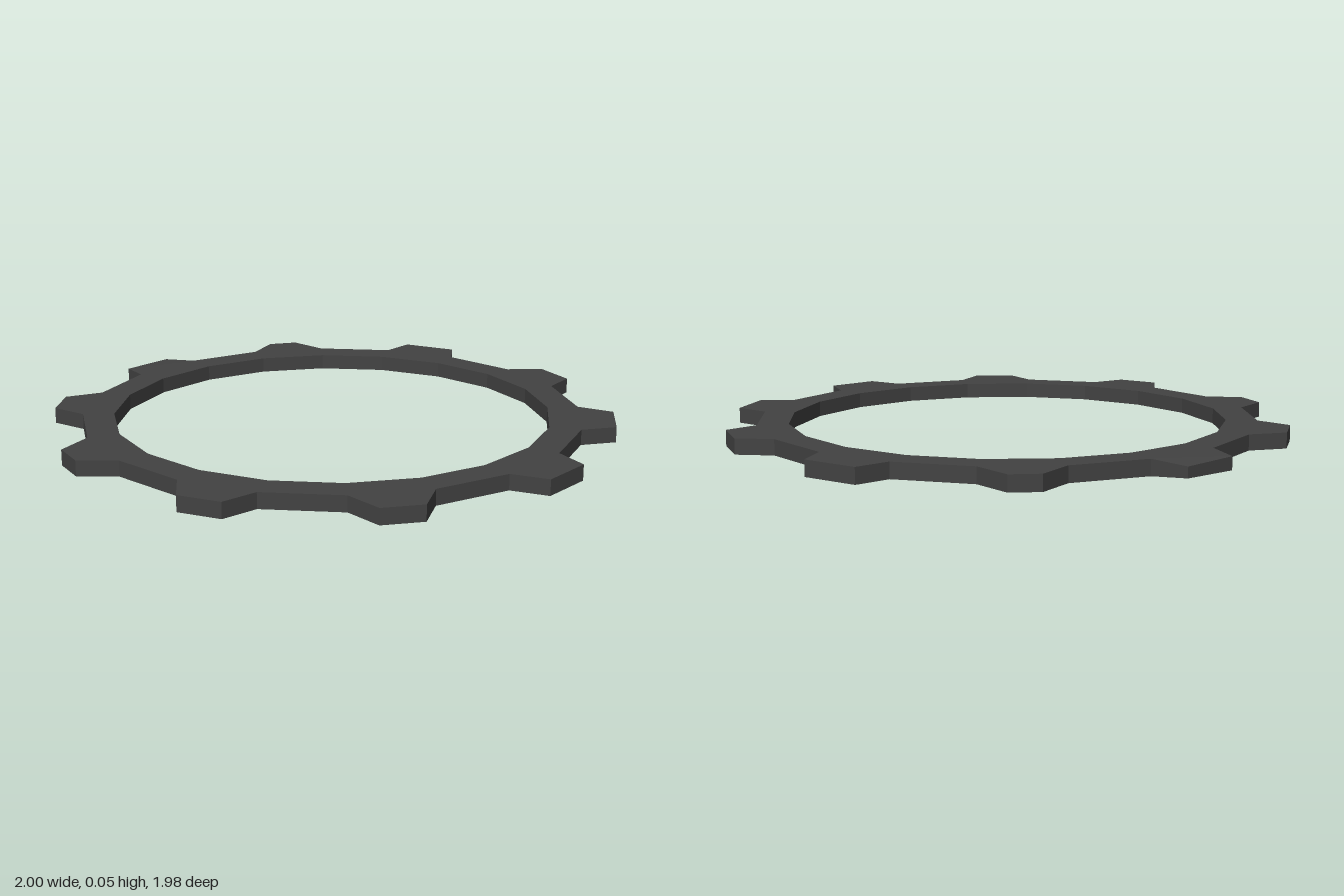
import * as THREE from 'three';

const SEGMENTS = 20, OUTER = 0.883, INNER = 0.773, HEIGHT = 0.055;

// Two tip corners (x, z) of each worn, slightly uneven tooth, clockwise from the back
const TIPS = [
  [[0.08, -0.991], [0.24, -0.963]],
  [[0.642, -0.766], [0.77, -0.636]],
  [[0.967, -0.25], [1, -0.063]],
  [[0.922, 0.386], [0.857, 0.515]],
  [[0.522, 0.847], [0.387, 0.919]],
  [[-0.09, 0.991], [-0.215, 0.972]],
  [[-0.647, 0.754], [-0.75, 0.652]],
  [[-0.957, 0.257], [-1, 0.054]],
  [[-0.904, -0.401], [-0.86, -0.496]],
  [[-0.54, -0.839], [-0.36, -0.926]],
];

// Point on a ring, in the shape's plane (shape y = -z)
function ringPoint(i, radius) {
  const a = (i / SEGMENTS) * Math.PI * 2;
  return new THREE.Vector2(Math.sin(a) * radius, Math.cos(a) * radius);
}

export function createModel() {
  const group = new THREE.Group();
  group.name = 'gearRing';

  // Outline runs clockwise, bore anticlockwise; every other segment carries a tooth
  const outline = [], bore = [];
  for (let i = 0; i < SEGMENTS; i++) {
    outline.push(ringPoint(i, OUTER));
    bore.push(ringPoint(-i, INNER));
    if (i % 2 === 0) {
      for (const [x, z] of TIPS[i / 2]) outline.push(new THREE.Vector2(x, -z));
    }
  }
  const shape = new THREE.Shape(outline);
  shape.holes.push(new THREE.Path(bore));

  const geometry = new THREE.ExtrudeGeometry(shape, { depth: HEIGHT, bevelEnabled: false });
  geometry.rotateX(-Math.PI / 2);

  // The tooth at the far -x end is thinned towards its tip
  const p = geometry.attributes.position;
  for (let i = 0; i < p.count; i++) {
    if (p.getX(i) < -0.93) {
      const inset = p.getX(i) < -0.98 ? 0.009 : 0.005;
      p.setY(i, p.getY(i) > HEIGHT / 2 ? HEIGHT - inset : inset);
    }
  }
  geometry.computeVertexNormals();

  const material = new THREE.MeshStandardMaterial({ color: 0x424242, flatShading: true });
  const ring = new THREE.Mesh(geometry, material);
  ring.name = 'toothedRing';
  group.add(ring);
  return group;
}
